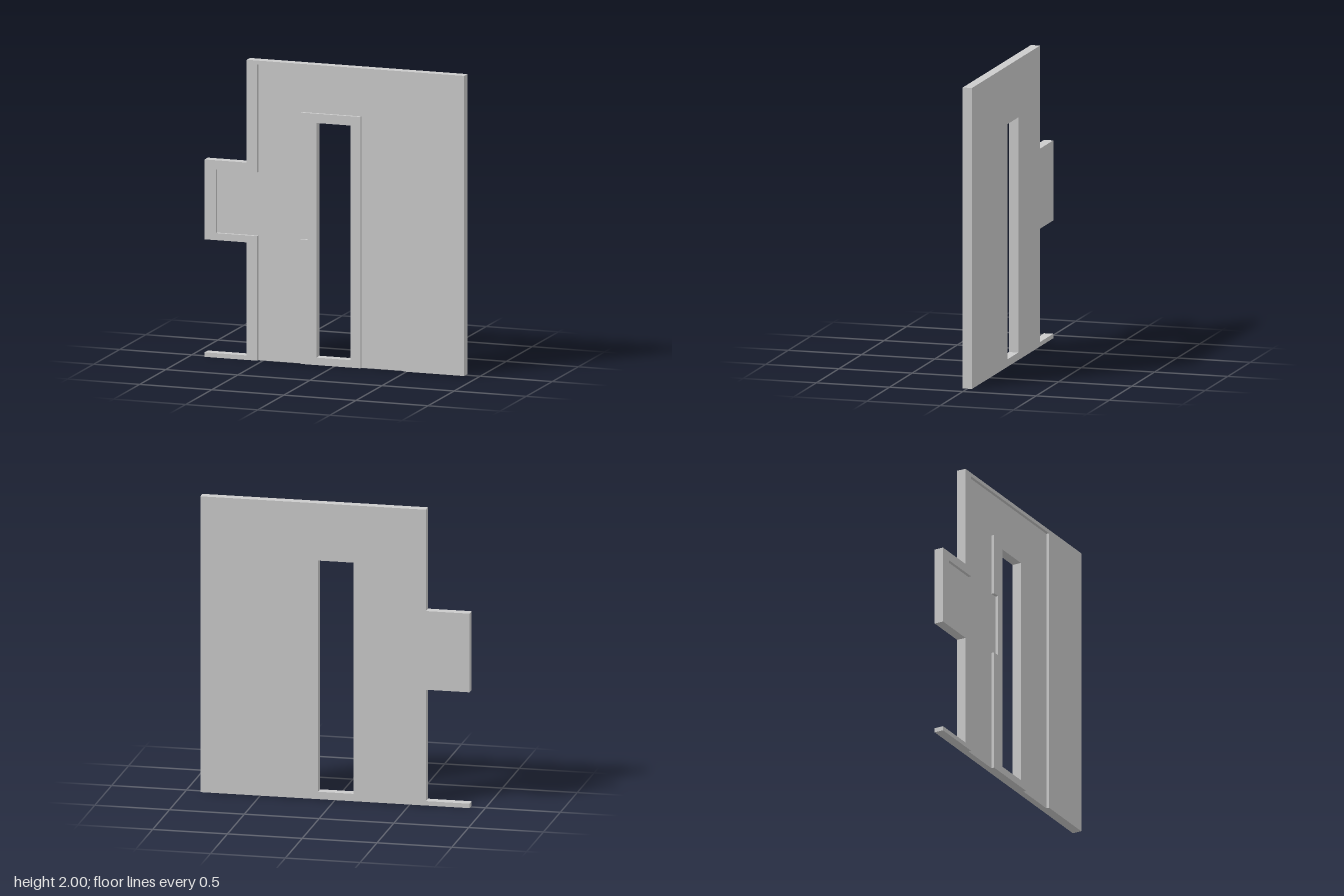
import * as THREE from 'three';

const THICK = 0.063, RECESS = 0.02, BACK = -THICK / 2;

// Edges shared by neighbouring parts
const channelOuter = [
  [-0.535, 0], [-0.535, 0.83], [-0.82, 0.83], [-0.82, 1.255],
  [-0.535, 1.255], [-0.535, 1.975], [0.48, 1.975], [0.48, 0],
];
const channelInner = [
  [0.18, 0], [0.18, 1.675], [-0.235, 1.675], [-0.235, 1.255],
  [-0.185, 1.255], [-0.185, 0.83], [-0.235, 0.83], [-0.235, 0],
];
const windowEdge = [[-0.125, 0.05], [0.113, 0.05], [0.113, 1.613], [-0.125, 1.613]];

const toVectors = (points) => points.map(([x, y]) => new THREE.Vector2(x, y));

// Flat slab of a given outline, standing on the common back plane
function slab(name, outline, depth, hole) {
  const shape = new THREE.Shape(toVectors(outline));
  if (hole) shape.holes.push(new THREE.Path(toVectors(hole)));
  const geometry = new THREE.ExtrudeGeometry(shape, { depth, bevelEnabled: false });
  geometry.translate(0, 0, BACK);
  const mesh = new THREE.Mesh(geometry, new THREE.MeshStandardMaterial({ color: 0xcccccc }));
  mesh.name = name;
  return mesh;
}

export function createModel() {
  const group = new THREE.Group();
  group.name = 'wallPanel';

  // Raised border with the side tab and the thin foot strip
  const border = [
    [-0.9, 0], ...channelOuter, [0.9, 0], [0.9, 2], [-0.608, 2],
    [-0.608, 1.315], [-0.9, 1.315], [-0.9, 0.783], [-0.608, 0.783],
    [-0.608, 0.03], [-0.9, 0.03],
  ];
  group.add(slab('raisedBorder', border, THICK));

  // Recessed channel, open at the bottom
  group.add(slab('recessedChannel', [...channelOuter, ...channelInner], THICK - RECESS));

  // Raised surround of the tall opening
  group.add(slab('openingSurround', channelInner, THICK, windowEdge));

  return group;
}
